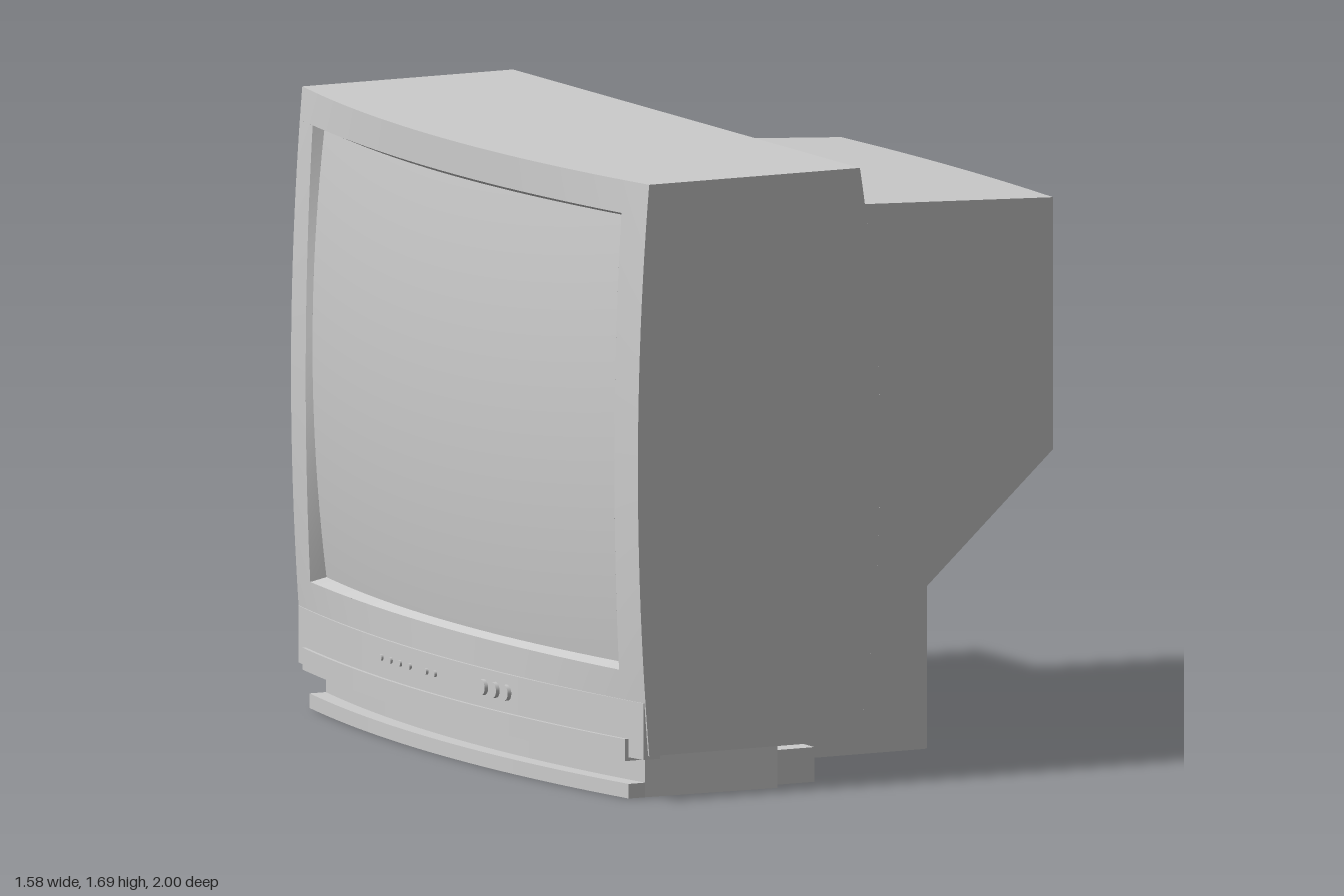
import * as THREE from 'three';
import { ParametricGeometry } from 'three/addons/geometries/ParametricGeometry.js';

const grey = new THREE.MeshStandardMaterial({ color: 0xcccccc, side: THREE.DoubleSide });
const lerp = THREE.MathUtils.lerp;

export function createModel() {
  const root = new THREE.Group();
  root.name = 'television';

  const add = (name, geometry, parent = root) => {
    const mesh = new THREE.Mesh(geometry, grey);
    mesh.name = name;
    parent.add(mesh);
    return mesh;
  };

  // Ruled surface between two curves, each a function of t in 0..1
  const ruled = (name, a, b, parent, n = 24, m = 1) =>
    add(name, new ParametricGeometry((u, v, p) => p.lerpVectors(a(u), b(u), v), n, m), parent);

  // Curved sheet fn(z, y) over the rectangle [z0, z1, y0, y1]
  const sheet = (name, fn, [z0, z1, y0, y1], parent) =>
    add(name, new ParametricGeometry((u, v, p) => p.copy(fn(lerp(z0, z1, u), lerp(y0, y1, v))), 24, 20), parent);

  // Curved face with a rectangular recess: border, sloping walls and floor
  function recessed(name, face, floor, outer, inner, inset) {
    const group = new THREE.Group();
    group.name = name;
    root.add(group);
    const [a0, a1, b0, b1] = outer, [c0, c1, d0, d1] = inner;
    const low = [c0 + inset, c1 - inset, d0 + inset, d1 - inset];
    sheet('borderBottom', face, [a0, a1, b0, d0], group);
    sheet('borderTop', face, [a0, a1, d1, b1], group);
    sheet('borderRight', face, [a0, c0, d0, d1], group);
    sheet('borderLeft', face, [c1, a1, d0, d1], group);
    sheet('recessFloor', floor, low, group);
    for (const i of [2, 3])
      ruled('recessWall', t => face(lerp(c0, c1, t), inner[i]), t => floor(lerp(low[0], low[1], t), low[i]), group);
    for (const i of [0, 1])
      ruled('recessWall', t => face(inner[i], lerp(d0, d1, t)), t => floor(low[i], lerp(low[2], low[3], t)), group);
  }

  // Vertical prism from a plan outline of [x, z] points
  function prism(name, points, y0, y1) {
    const shape = new THREE.Shape(points.map(([x, z]) => new THREE.Vector2(x, z)));
    const g = new THREE.ExtrudeGeometry(shape, { depth: y1 - y0, bevelEnabled: false });
    g.rotateX(Math.PI / 2).translate(0, y1, 0);
    return add(name, g);
  }

  // Shell: bowed front and back, flat sides
  const TOP = 1.69, BOTTOM = 0.125;
  const bulge = y => 1 - ((y - 0.91) / 0.785) ** 2;
  const frontX = (z, y) => -0.775 + (0.1 - 0.035 * bulge(y)) * z * z;
  const backX = (z, y) => -0.03 + 0.08 * bulge(y) * (1 - 0.2 * z * z);
  const front = (z, y) => new THREE.Vector3(frontX(z, y), y, z);
  const back = (z, y) => new THREE.Vector3(backX(z, y), y, z);
  const screen = (z, y) => new THREE.Vector3(-0.79 + 0.105 * z * z + 0.038 * ((y - 1) / 0.6) ** 2, y, z);

  recessed('bezelAndScreen', front, screen, [-1, 1, BOTTOM, TOP], [-0.89, 0.89, 0.35, 1.6], 0.012);
  sheet('shellBack', back, [-1, 1, BOTTOM, TOP]);
  for (const z of [-1, 1])
    ruled('shellSide', t => front(z, lerp(BOTTOM, TOP, t)), t => back(z, lerp(BOTTOM, TOP, t)));
  for (const y of [BOTTOM, TOP])
    ruled(y === TOP ? 'shellTop' : 'shellBottom', t => front(lerp(-1, 1, t), y), t => back(lerp(-1, 1, t), y));

  // Points along the bowed front, from right to left
  const frontCurve = (half, y, offset) => Array.from({ length: 25 }, (_, i) => {
    const z = lerp(-half, half, i / 24);
    return [frontX(z, y) + offset, z];
  });

  // Chin: control strip and projecting lower lip
  const strip = (name, half, offset, y0, y1) =>
    prism(name, [...frontCurve(half, 0.2, offset), [-0.64, half], [-0.64, -half]], y0, y1);
  strip('controlStrip', 0.995, -0.008, 0.115, 0.27);
  strip('chinLip', 0.93, -0.018, 0.105, 0.165);

  // Control buttons and indicator dots
  const button = (name, z, r, depth) => {
    const g = new THREE.CylinderGeometry(r, r, depth, 16).rotateZ(Math.PI / 2);
    add(name, g).position.set(frontX(z, 0.2) - 0.01, 0.22, z);
  };
  for (const z of [0.24, 0.3, 0.36]) button('button', z, 0.022, 0.016);
  for (const z of [-0.36, -0.3, -0.24, -0.18, -0.08, -0.03]) button('indicator', z, 0.009, 0.01);

  // Base: stepped plinth with front lip
  const half = [[-0.25, 0.94], [-0.25, 0.77], [-0.1, 0.77], [-0.08, 0.68], [-0.06, 0.5]];
  const mirrored = half.map(([x, z]) => [x, -z]).reverse();
  prism('plinth', [...frontCurve(0.92, 0.13, 0.045), ...half, ...mirrored], 0, 0.13);
  prism('plinthLip', [...frontCurve(0.92, 0.13, -0.005), [-0.62, 0.92], [-0.62, -0.92]], 0, 0.04);
  for (const s of [-1, 1]) {
    const foot = add('plinthStep', new THREE.BoxGeometry(0.14, 0.095, 0.12));
    foot.position.set(-0.18, 0.0475, s * 0.83);
  }

  // Tube housing: tapers backwards, underside slopes up
  const nearRing = [[-0.67, 0.13], [0.67, 0.13], [0.67, 1.54], [-0.67, 1.54]];
  const farRing = [[-0.61, 0.81], [0.61, 0.81], [0.61, 1.5], [-0.61, 1.5]];
  const rear = (z, y) => new THREE.Vector3(0.77 + 0.02 * (1 - (z / 0.61) ** 2), y, z);
  const rearFloor = (z, y) => rear(z, y).add(new THREE.Vector3(-0.015, 0, 0));
  ['housingUnderside', 'housingLeft', 'housingTop', 'housingRight'].forEach((name, i) => {
    const j = (i + 1) % 4;
    const edge = (ring, t) => [lerp(ring[i][0], ring[j][0], t), lerp(ring[i][1], ring[j][1], t)];
    ruled(name,
      t => { const [z, y] = edge(nearRing, t); return new THREE.Vector3(-0.03, y, z); },
      t => rear(...edge(farRing, t)));
  });
  recessed('housingBack', rear, rearFloor, [-0.61, 0.61, 0.81, 1.5], [-0.265, 0.47, 0.88, 1.25], 0.018);

  // Pedestal with softened rear corners and a cable slot low on the back
  const X = 0.447, Z = 0.51, R = 0.025;
  const corner = s => Array.from({ length: 7 }, (_, i) => {
    const a = (i / 6) * Math.PI / 2;
    return [X - R + R * Math.sin(a), s * (Z - R + R * Math.cos(a))];
  });
  const slot = [[X, -0.28], [X - 0.03, -0.28], [X - 0.03, -0.31], [X, -0.31]];
  const outline = cut => [[-0.07, Z], ...corner(1), ...cut, ...corner(-1).reverse(), [-0.07, -Z]];
  prism('pedestalLower', outline(slot), 0, 0.13);
  prism('pedestalUpper', outline([]), 0.13, 0.535);

  // Raised cover with sloping edges on the pedestal back
  const cover = new THREE.BoxGeometry(0.03, 0.345, 0.4);
  const p = cover.attributes.position;
  for (let i = 0; i < p.count; i++)
    if (p.getX(i) > 0) p.setXYZ(i, 0.015, p.getY(i) * 0.82, p.getZ(i) * 0.8);
  cover.computeVertexNormals();
  add('pedestalCover', cover).position.set(0.458, 0.24, 0.25);

  return root;
}
